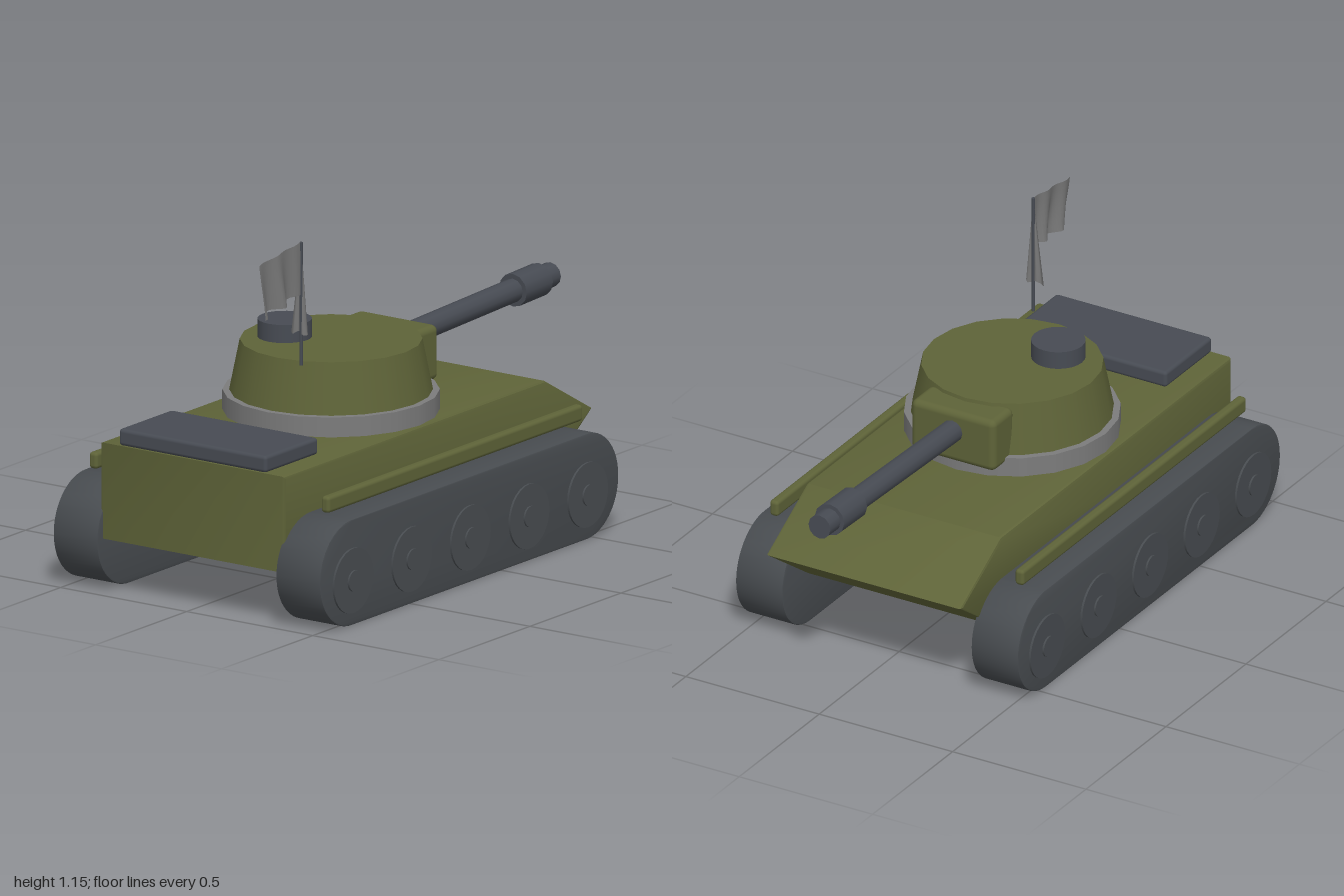
import * as THREE from 'three';
import { toCreasedNormals } from 'three/addons/utils/BufferGeometryUtils.js';
import { RoundedBoxGeometry } from 'three/addons/geometries/RoundedBoxGeometry.js';

const material = (name, color, side = THREE.FrontSide) => {
  const m = new THREE.MeshStandardMaterial({ color, side });
  m.name = name;
  return m;
};

export function createModel() {
  const green = material('olive paint', 0x5e6338);
  const trackGrey = material('track rubber', 0x484c50);
  const gunmetal = material('gunmetal', 0x474b53);
  const grey = material('light steel', 0x7c7c7c);
  const cloth = material('grey cloth', 0x787878, THREE.DoubleSide);

  const model = new THREE.Group();
  model.name = 'tank';

  const add = (name, geometry, mat, x = 0, y = 0, z = 0, parent = model) => {
    const mesh = new THREE.Mesh(geometry, mat);
    mesh.name = name;
    mesh.position.set(x, y, z);
    parent.add(mesh);
    return mesh;
  };

  // Side profile extruded across z, centred, with a small bevel inside the given size
  const slab = (shape, width, bevel, curveSegments = 12) => {
    const g = new THREE.ExtrudeGeometry(shape, {
      depth: width - 2 * bevel, bevelEnabled: bevel > 0, bevelSize: bevel,
      bevelThickness: bevel, bevelOffset: -bevel, bevelSegments: 2, curveSegments,
    });
    g.translate(0, 0, -width / 2 + bevel);
    return toCreasedNormals(g, 0.5);
  };

  // Hull with a wedge nose
  const hullShape = new THREE.Shape([
    [-0.97, 0.18], [0.48, 0.18], [0.725, 0.355], [0.47, 0.5], [-0.97, 0.5],
  ].map(([x, y]) => new THREE.Vector2(x, y)));
  add('hull', slab(hullShape, 0.73, 0.01), green);
  add('engineDeck', new RoundedBoxGeometry(0.29, 0.056, 0.585, 2, 0.012), gunmetal, -0.825, 0.528, 0);

  // Tracks, road wheels and side rails, mirrored
  const R = 0.176;
  const trackShape = new THREE.Shape();
  trackShape.moveTo(-0.824, 0);
  trackShape.lineTo(0.464, 0);
  trackShape.absarc(0.464, R, R, -Math.PI / 2, Math.PI / 2, false);
  trackShape.lineTo(-0.824, 2 * R);
  trackShape.absarc(-0.824, R, R, Math.PI / 2, Math.PI * 1.5, false);
  const trackGeo = slab(trackShape, 0.175, 0.004, 16);
  const wheelGeo = new THREE.CylinderGeometry(0.108, 0.108, 0.03, 28).rotateX(Math.PI / 2);
  const hubGeo = new THREE.CylinderGeometry(0.035, 0.035, 0.03, 16).rotateX(Math.PI / 2);
  const railGeo = new RoundedBoxGeometry(1.4, 0.055, 0.033, 2, 0.012);
  for (const [side, s] of [['left', 1], ['right', -1]]) {
    add(side + 'Track', trackGeo, trackGrey, 0, 0, s * 0.4415);
    add(side + 'Rail', railGeo, green, -0.18, 0.402, s * 0.46);
    for (let i = 0; i < 5; i++) {
      const x = -0.824 + i * 0.322;
      add(side + 'Wheel', wheelGeo, trackGrey, x, 0.15, s * 0.521);
      add(side + 'Hub', hubGeo, trackGrey, x, 0.15, s * 0.527);
    }
  }

  // Turret
  const turret = new THREE.Group();
  turret.name = 'turret';
  model.add(turret);
  add('turretRing', new THREE.CylinderGeometry(0.35, 0.35, 0.07, 20), grey, -0.207, 0.531, 0, turret);
  add('turretBody', new THREE.CylinderGeometry(0.294, 0.332, 0.19, 20), green, -0.207, 0.64, 0, turret);
  add('hatch', new THREE.CylinderGeometry(0.088, 0.088, 0.06, 24), gunmetal, -0.298, 0.774, -0.118, turret);
  add('mantlet', new RoundedBoxGeometry(0.13, 0.183, 0.315, 3, 0.022), green, 0.105, 0.632, 0, turret);

  // Gun, slightly raised
  const gun = new THREE.Group();
  gun.name = 'gun';
  gun.position.set(0.1, 0.65, 0);
  gun.rotation.z = 0.034;
  turret.add(gun);
  const tube = (name, from, to, r) => add(name,
    new THREE.CylinderGeometry(r, r, to - from, 12).rotateZ(-Math.PI / 2),
    gunmetal, (from + to) / 2, 0, 0, gun);
  tube('barrel', 0, 0.7, 0.039);
  tube('muzzleBrake', 0.692, 0.836, 0.055);
  tube('muzzleTip', 0.83, 0.899, 0.041);

  // Flag pole
  const poleX = -0.535, poleZ = 0.118;
  add('flagPole', new THREE.CylinderGeometry(0.006, 0.006, 0.41, 8), gunmetal, poleX, 0.942, poleZ);

  // Rippling flag: u runs away from the pole, v runs down
  const flagGeo = new THREE.PlaneGeometry(1, 1, 20, 8);
  const fp = flagGeo.attributes.position;
  for (let i = 0; i < fp.count; i++) {
    const u = 0.5 - fp.getX(i), v = 0.5 - fp.getY(i);
    const ripple = Math.sin(u * 13 + v * 1.5) * (0.004 + 0.014 * v) * Math.min(1, u * 5);
    fp.setXYZ(i, -0.232 * u, -0.03 * u - 0.175 * v + 0.003 * Math.sin(u * 11) * v, ripple + 0.01 * v * u);
  }
  flagGeo.computeVertexNormals();
  add('flag', flagGeo, cloth, poleX, 1.148, poleZ);

  // Pleated streamer hanging down the pole, widening toward its hem
  const streamerGeo = new THREE.PlaneGeometry(1, 1, 8, 6);
  const sp = streamerGeo.attributes.position;
  for (let i = 0; i < sp.count; i++) {
    const u = sp.getX(i) + 0.5, v = 0.5 - sp.getY(i);
    const z = THREE.MathUtils.lerp(0.027, -0.043, u) * v;
    sp.setXYZ(i, 0.006 * Math.sin(u * 14) * v, -0.305 * v - 0.006 * Math.sin(u * 9) * v, z);
  }
  streamerGeo.computeVertexNormals();
  add('streamer', streamerGeo, cloth, poleX, 1.148, poleZ);

  return model;
}
